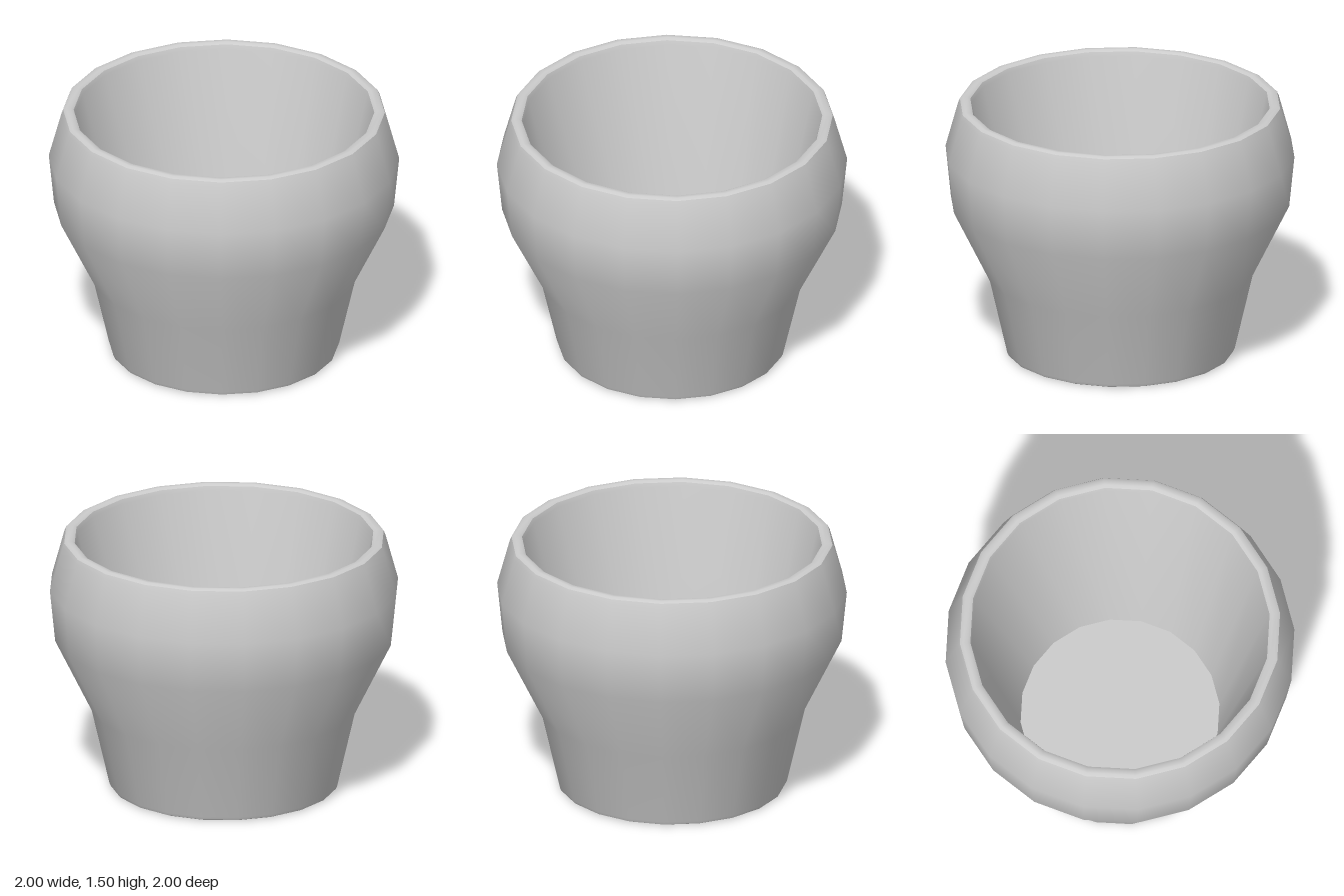
import * as THREE from 'three';
import { toCreasedNormals } from 'three/addons/utils/BufferGeometryUtils.js';

const SIDES = 20;
const material = new THREE.MeshStandardMaterial({ color: 0xcccccc });

// Turn a list of [radius, height] pairs into a named, twenty-sided part
function turned(name, profile) {
  const points = profile.map(([r, y]) => new THREE.Vector2(r, y));
  const geometry = toCreasedNormals(new THREE.LatheGeometry(points, SIDES), 0.62);
  const mesh = new THREE.Mesh(geometry, material);
  mesh.name = name;
  return mesh;
}

export function createModel() {
  const pot = new THREE.Group();
  pot.name = 'pot';

  // Underside, bulging outer wall, rounded rim and the straight tapered inside
  pot.add(turned('potBody', [
    [0, 0], [0.635, 0],
    [0.65, 0.007], [0.658, 0.025],
    [0.76, 0.47],
    [0.97, 0.9],
    [1, 1.2],
    [0.928, 1.465], [0.918, 1.49], [0.9, 1.5],
    [0.875, 1.5], [0.858, 1.49], [0.85, 1.465],
    [0.57, 0.08],
  ]));

  // Flat floor inside the pot
  pot.add(turned('innerFloor', [[0.57, 0.08], [0, 0.08]]));

  return pot;
}
